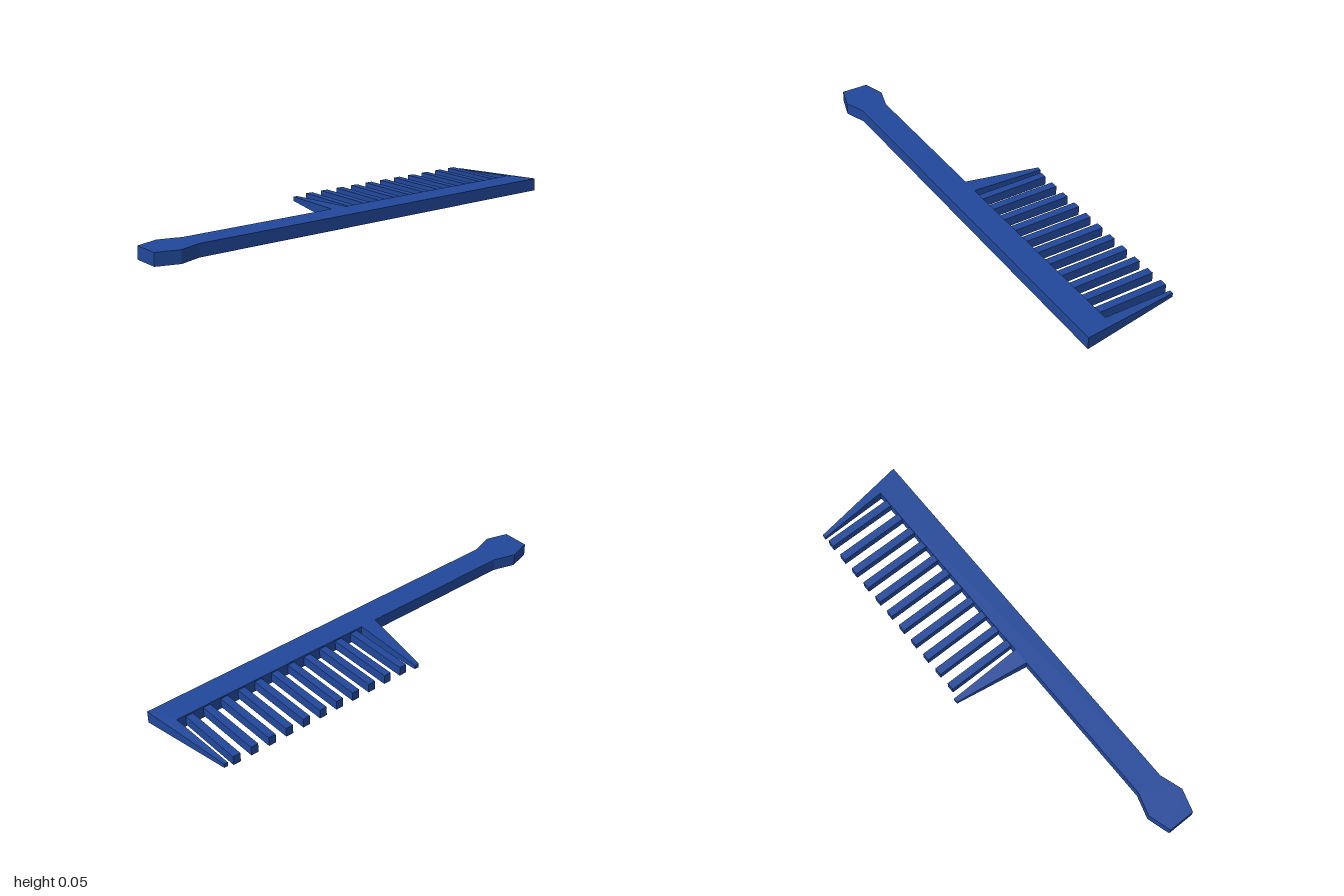
import * as THREE from 'three';

const H = 0.055; // thickness of the comb

// Flat plate from an outline of [x, z] points, standing on y = 0
function plate(points) {
  const shape = new THREE.Shape(points.map(([x, z]) => new THREE.Vector2(x, -z)));
  const geo = new THREE.ExtrudeGeometry(shape, { depth: H, bevelEnabled: false });
  return geo.rotateX(-Math.PI / 2);
}

// Plate whose tip (the x < 0 end) is thinned towards mid height
function taperedPlate(points) {
  const geo = plate(points);
  const pos = geo.attributes.position;
  for (let i = 0; i < pos.count; i++) {
    if (pos.getX(i) < 0) pos.setY(i, H / 2 + (pos.getY(i) - H / 2) * 0.34);
  }
  geo.computeVertexNormals();
  return geo;
}

export function createModel() {
  const group = new THREE.Group();
  const blue = new THREE.MeshStandardMaterial({ color: 0x21489a, flatShading: true });
  blue.name = 'blue plastic';

  const add = (name, geo) => {
    const mesh = new THREE.Mesh(geo, blue);
    mesh.name = name;
    group.add(mesh);
    return mesh;
  };

  // Spine and handle in one piece, with a flared grip end
  add('spineAndHandle', plate([
    [0.207, -1], [0.09, -0.94], [0.09, 0.8], [0.06, 0.9], [0.09, 1],
    [0.21, 1], [0.24, 0.9], [0.207, 0.8],
  ]));

  // Thick guard teeth at both ends of the row
  add('backGuardTooth', taperedPlate([[0.207, -1], [-0.225, -0.942], [-0.225, -0.925], [0.09, -0.94]]));
  add('frontGuardTooth', taperedPlate([[0.09, 0.005], [-0.243, 0.01], [-0.243, 0.03], [0.09, 0.08]]));

  // Row of straight teeth
  const toothGeo = new THREE.BoxGeometry(0.315, 0.041, 0.034);
  for (let i = 0; i < 11; i++) {
    add('tooth' + (i + 1), toothGeo).position.set(-0.0665, H / 2, -0.882 + i * 0.0842);
  }

  return group;
}
